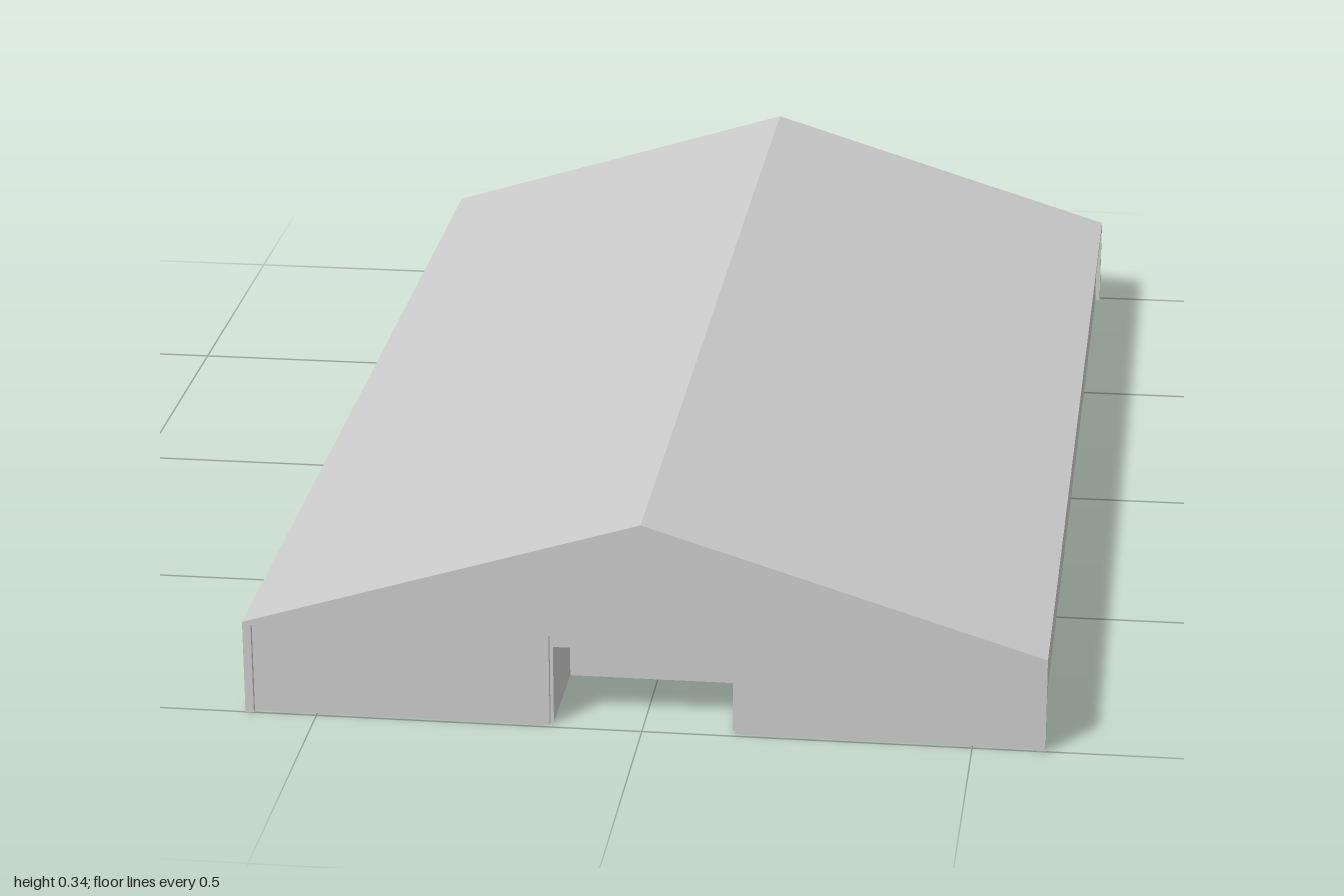
import * as THREE from 'three';

const material = new THREE.MeshStandardMaterial({ color: 0xcccccc, flatShading: true });

// Overall sizes
const W = 0.61, L = 1, EAVE = 0.15, RIDGE = 0.338, ROOF = 0.009;
const INSET = 0.008, WALL = 0.012, POST = 0.013;
const DOOR = 0.142, DOOR_H = 0.147, JAMB = 0.005, LINTEL = 0.022, ALCOVE_END = 0.81;

// Height of the roof's top surface at a given x
const roofY = (x) => RIDGE - (RIDGE - EAVE) * Math.abs(x) / W;

function add(parent, name, geometry, x = 0, y = 0, z = 0) {
  const mesh = new THREE.Mesh(geometry, material);
  mesh.name = name;
  mesh.position.set(x, y, z);
  parent.add(mesh);
  return mesh;
}

// Extrude an outline of [x, y] points from z0 to z1
function slab(points, z0, z1) {
  const shape = new THREE.Shape(points.map(([x, y]) => new THREE.Vector2(x, y)));
  const geometry = new THREE.ExtrudeGeometry(shape, { depth: z1 - z0, bevelEnabled: false });
  return geometry.translate(0, 0, z0);
}

// One end of the hall: gable wall, recessed doorway and corner posts
function buildEnd(name) {
  const end = new THREE.Group();
  end.name = name;
  const gw = W - INSET;
  const under = (x) => roofY(x) - ROOF * 0.8;

  add(end, 'gableWall', slab([
    [-gw, 0], [-DOOR, 0], [-DOOR, DOOR_H], [DOOR, DOOR_H], [DOOR, 0], [gw, 0],
    [gw, under(gw)], [0, under(0)], [-gw, under(gw)],
  ], L - INSET - WALL, L - INSET));

  // Door surround running inwards, open at the floor
  const dw = DOOR - JAMB, dh = DOOR_H - LINTEL;
  add(end, 'doorSurround', slab([
    [-DOOR, 0], [-dw, 0], [-dw, dh], [dw, dh], [dw, 0], [DOOR, 0],
    [DOOR, DOOR_H], [-DOOR, DOOR_H],
  ], ALCOVE_END, L - INSET - 0.01));
  add(end, 'doorPanel', slab([
    [-DOOR, 0], [DOOR, 0], [DOOR, DOOR_H], [-DOOR, DOOR_H],
  ], ALCOVE_END - JAMB, ALCOVE_END));

  // Square posts standing proud at the corners
  for (const side of [-1, 1]) {
    const h = EAVE - ROOF * 0.5;
    add(end, 'cornerPost', new THREE.BoxGeometry(POST, h, POST),
      side * (W - POST / 2), h / 2, L - POST / 2);
  }
  return end;
}

export function createModel() {
  const model = new THREE.Group();
  model.name = 'hall';

  // Pitched roof sheet covering the full footprint
  add(model, 'roof', slab([
    [-W, EAVE - ROOF], [0, RIDGE - ROOF], [W, EAVE - ROOF],
    [W, EAVE], [0, RIDGE], [-W, EAVE],
  ], -L, L));

  // Long side walls, set back under the eaves
  const sideLength = 2 * (L - INSET), sideHeight = EAVE - ROOF * 0.5;
  for (const side of [-1, 1]) {
    add(model, 'sideWall', new THREE.BoxGeometry(WALL, sideHeight, sideLength),
      side * (W - INSET - WALL / 2), sideHeight / 2, 0);
  }

  // Matching ends
  const front = buildEnd('frontEnd');
  const back = buildEnd('backEnd');
  back.rotation.y = Math.PI;
  model.add(front, back);
  return model;
}
